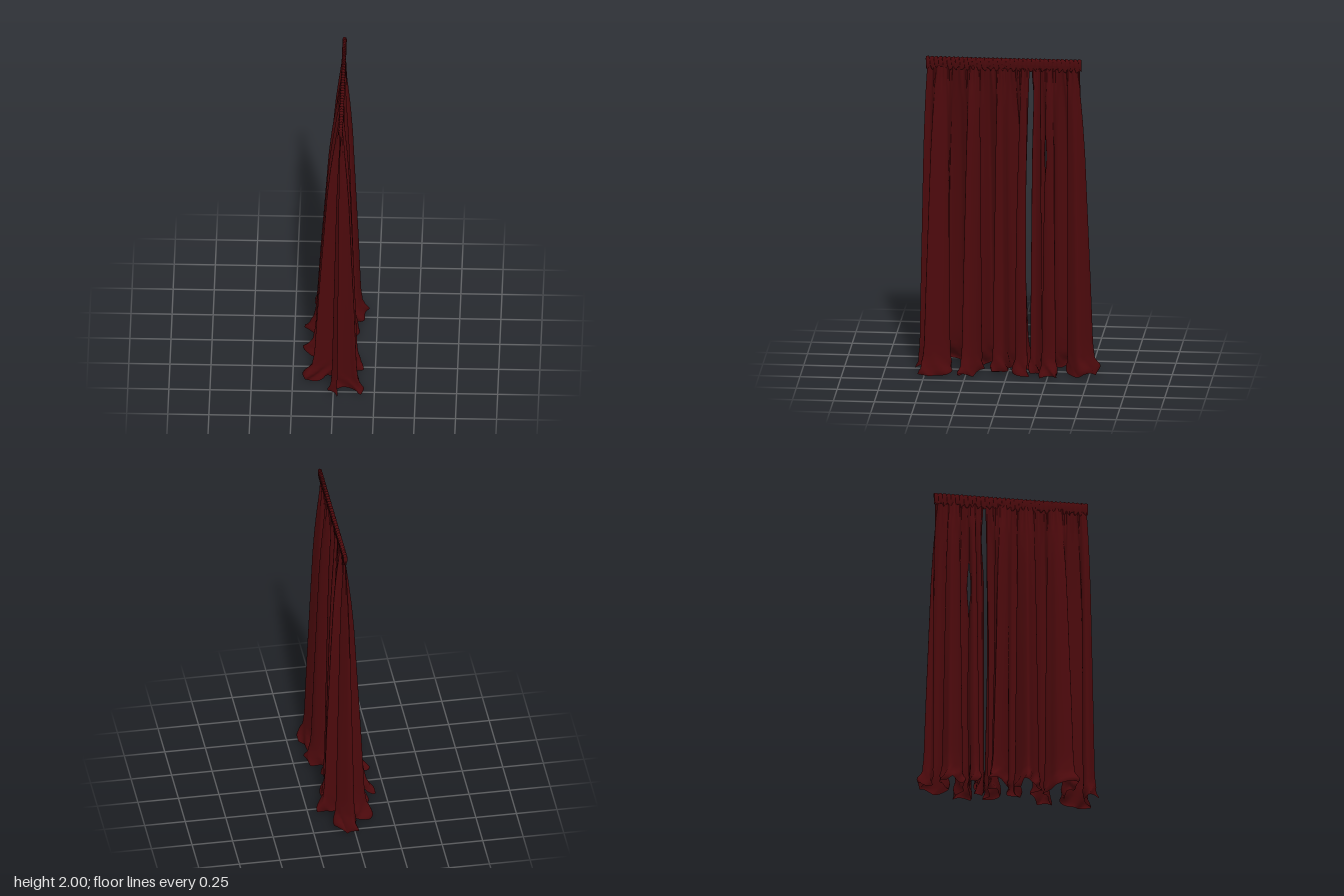
import * as THREE from 'three';

const ROD_X = 0.045;
const smooth = THREE.MathUtils.smoothstep;
const bump = (y, centre, width) => Math.exp(-(((y - centre) / width) ** 2));

// How far the folds have opened at each height: [y, share of the hem shape]
const OPENING = [
  [0, 0.98], [0.03, 1], [0.06, 0.9], [0.11, 0.77], [0.2, 0.7], [0.6, 0.6], [1, 0.485],
  [1.4, 0.37], [1.6, 0.28], [1.8, 0.155], [1.92, 0.04], [2, 0.02],
];
function opening(y) {
  for (let i = 1; i < OPENING.length; i++) {
    const [y0, a] = OPENING[i - 1], [y1, b] = OPENING[i];
    if (y <= y1) return a + ((b - a) * (y - y0)) / (y1 - y0);
  }
  return 0;
}

// Surface from a grid of points, point(i, j) -> [x, y, z]
function gridSurface(cols, rows, point) {
  const pos = [], index = [];
  for (let j = 0; j <= rows; j++)
    for (let i = 0; i <= cols; i++) pos.push(...point(i, j));
  for (let j = 0; j < rows; j++)
    for (let i = 0; i < cols; i++) {
      const a = j * (cols + 1) + i, b = a + cols + 1;
      index.push(a, b, a + 1, b, b + 1, a + 1);
    }
  const geo = new THREE.BufferGeometry();
  geo.setAttribute('position', new THREE.Float32BufferAttribute(pos, 3));
  geo.setIndex(index);
  geo.computeVertexNormals();
  return geo;
}

// Hanging cloth: gathered straight line at the top, folded hem path [x, z] at the floor
function clothPanel({ top, hem, startPull, endPull }) {
  const path = new THREE.CatmullRomCurve3(hem.map(([x, z]) => new THREE.Vector3(x, 0, z)), false, 'centripetal');
  const cols = hem.length * 10, rows = 44;
  const line = path.getSpacedPoints(cols);
  return gridSurface(cols, rows, (i, j) => {
    const u = i / cols, t = j / rows;
    // rows crowd together towards the hem
    const y = 1.935 * (1 - t) ** 1.5 + 0.012;
    const w = opening(y), p = line[i];
    const zTop = THREE.MathUtils.lerp(top[0], top[1], u);
    let x = ROD_X + (p.x - ROD_X) * w;
    let z = zTop + (p.z - zTop) * w;
    // small gathers under the heading
    x += 0.006 * Math.sin(zTop * 200) * bump(y, 1.9, 0.1);
    // edges drawn aside where the panels part
    z += startPull(y) * (1 - smooth(u, 0, 0.3)) + endPull(y) * smooth(u, 0.7, 1);
    // crumpled hem
    const k = 1 - smooth(y, 0.02, 0.15);
    x += 0.008 * k * Math.sin(i * 0.5 + y * 45);
    z += 0.008 * k * Math.sin(i * 0.4 + y * 60 + 1);
    const lift = 0.011 * k * (1 + Math.sin(i * 0.27 + 2 * Math.sin(i * 0.09)));
    return [x, y + lift - 0.007 * k, z];
  });
}

// Puckered heading around the rod pocket, widest along its top edge, closed at both ends
function headingBand() {
  const cols = 320, rows = 16;
  return gridSurface(cols, rows, (i, j) => {
    const u = i / cols, a = (j / rows) * Math.PI * 2;
    const pucker = Math.abs(Math.sin(u * Math.PI * 36));
    const s = Math.sin(a), c = Math.cos(a);
    const closed = i === 0 || i === cols ? 0 : 1;
    const half = (0.0105 + 0.005 * s) * (0.8 + 0.3 * pucker) * closed;
    const height = s > 0 ? 0.036 + 0.007 * pucker : 0.034 + 0.01 * Math.sin(u * 170);
    return [
      ROD_X + Math.sign(c) * Math.sqrt(Math.abs(c)) * half,
      1.957 + s * height,
      0.5 - 0.95 * u + 0.003 * Math.sin(u * 230 + a) * closed,
    ];
  });
}

export function createModel() {
  const group = new THREE.Group();
  const cloth = new THREE.MeshStandardMaterial({ color: 0x4c090c, side: THREE.DoubleSide });
  cloth.name = 'dark red cloth';
  const none = () => 0;

  const panels = {
    widePanel: {
      top: [0.49, -0.135],
      hem: [
        [0.02, 0.56], [-0.03, 0.495], [0.02, 0.47], [0.12, 0.505], [0.18, 0.535], [0.17, 0.46],
        [0.11, 0.34], [0.03, 0.35], [-0.09, 0.385], [-0.185, 0.41], [-0.15, 0.29], [-0.07, 0.245],
        [0, 0.215], [0.07, 0.26], [0.175, 0.29], [0.16, 0.225], [0.04, 0.15], [-0.04, 0.2],
        [-0.12, 0.15], [-0.19, 0.1], [-0.1, 0.055], [0.02, 0.035], [0.1, 0.1], [0.095, 0.025],
        [0.01, 0], [-0.085, -0.015], [-0.19, -0.145], [-0.11, -0.13], [-0.03, -0.12],
        [0.04, -0.05], [0.11, -0.04], [0.145, -0.13], [0.07, -0.108],
      ],
      startPull: none,
      endPull: (y) => 0.012 * bump(y, 0.9, 0.7),
    },
    narrowPanel: {
      top: [-0.14, -0.235],
      hem: [
        [-0.05, -0.155], [0.04, -0.14], [0.1, -0.135], [0.1, -0.17], [0.03, -0.2], [-0.07, -0.205],
        [-0.11, -0.18], [-0.135, -0.22], [-0.1, -0.245], [0, -0.23], [0.035, -0.23],
      ],
      startPull: (y) => -0.015 * bump(y, 1.7, 0.2),
      endPull: (y) => 0.01 * bump(y, 1.38, 0.11) - 0.012 * bump(y, 0.6, 0.4),
    },
    sidePanel: {
      top: [-0.23, -0.44],
      hem: [
        [0.06, -0.235], [0.15, -0.205], [0.19, -0.31], [0.08, -0.29], [0, -0.27],
        [-0.07, -0.285], [-0.14, -0.39], [-0.1, -0.415], [-0.03, -0.43], [0.03, -0.36],
        [0.08, -0.39], [0.125, -0.45], [0.08, -0.51], [0, -0.56], [-0.02, -0.5], [0.03, -0.46],
      ],
      startPull: (y) => -0.012 * bump(y, 1.38, 0.12),
      endPull: none,
    },
  };
  for (const [name, spec] of Object.entries(panels)) {
    const mesh = new THREE.Mesh(clothPanel(spec), cloth);
    mesh.name = name;
    group.add(mesh);
  }

  const heading = new THREE.Mesh(headingBand(), cloth);
  heading.name = 'heading';
  group.add(heading);
  return group;
}
